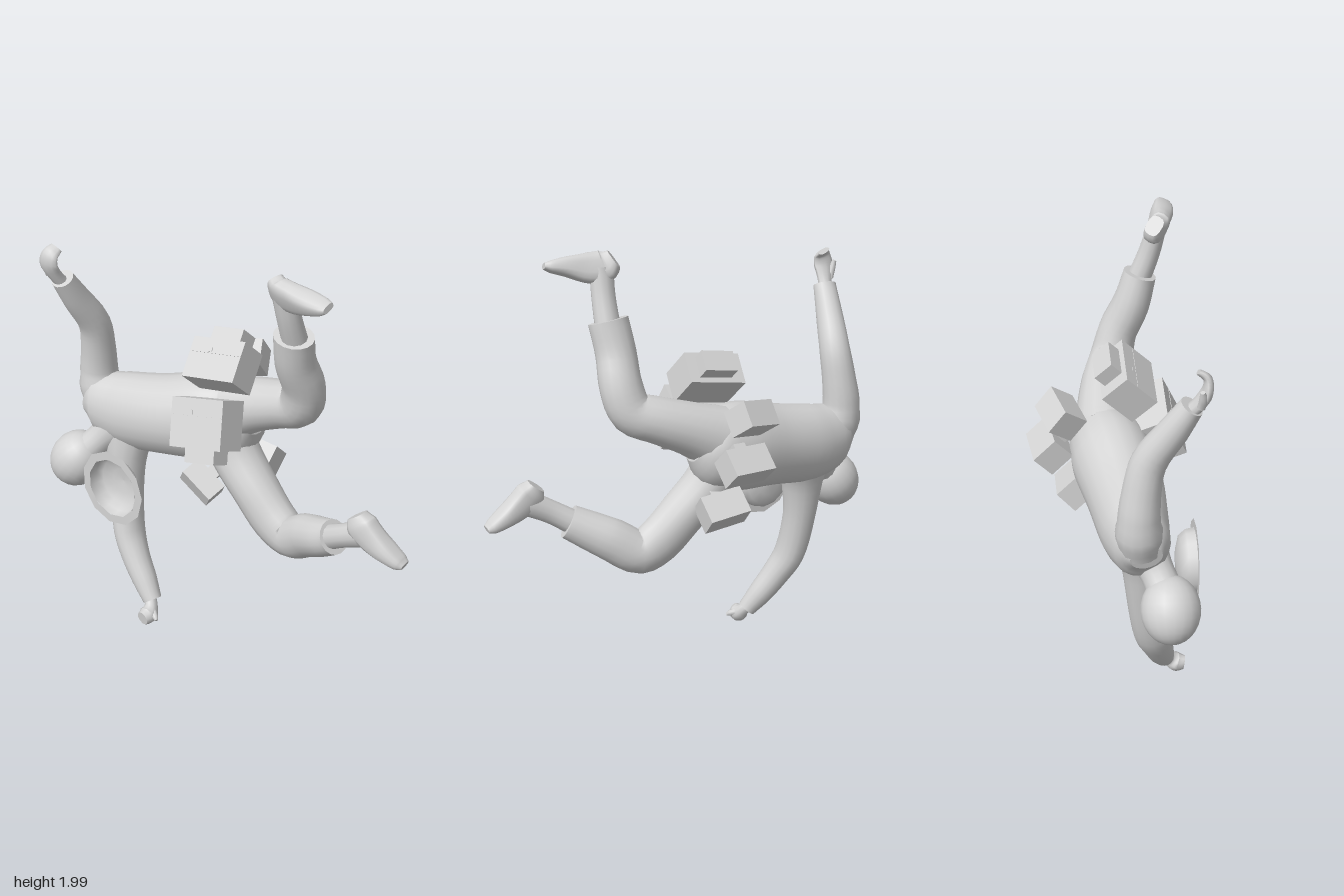
import * as THREE from 'three';

const grey = new THREE.MeshStandardMaterial({ color: 0xd4d4d4 });
grey.name = 'plain grey';
const greyOpen = new THREE.MeshStandardMaterial({ color: 0xd4d4d4, side: THREE.DoubleSide });
greyOpen.name = 'plain grey open';

const V = (x, y, z) => new THREE.Vector3(x, y, z);

// Smooth body through elliptical stations [x, y, z, r along ref, r across].
function loft(stations, ref, sides = 16, steps = 4, power = 1) {
  const path = new THREE.CatmullRomCurve3(stations.map(s => V(s[0], s[1], s[2])));
  const radii = new THREE.CatmullRomCurve3(stations.map(s => V(s[3], s[4], 0)));
  const rings = (stations.length - 1) * steps;
  const pos = [], index = [];
  for (let i = 0; i <= rings; i++) {
    const c = path.getPoint(i / rings), t = path.getTangent(i / rings), r = radii.getPoint(i / rings);
    const u = ref.clone().addScaledVector(t, -ref.dot(t)).normalize();
    const v = t.clone().cross(u);
    for (let j = 0; j < sides; j++) {
      const a = j / sides * Math.PI * 2, ca = Math.cos(a), sa = Math.sin(a);
      const p = c.clone()
        .addScaledVector(u, Math.sign(ca) * Math.abs(ca) ** power * r.x)
        .addScaledVector(v, Math.sign(sa) * Math.abs(sa) ** power * r.y);
      pos.push(p.x, p.y, p.z);
    }
  }
  for (let i = 0; i < rings; i++) for (let j = 0; j < sides; j++) {
    const a = i * sides + j, b = i * sides + (j + 1) % sides;
    index.push(a, b, a + sides, b, b + sides, a + sides);
  }
  // end caps with their own vertices, so cuffs stay crisp
  for (const end of [0, rings]) {
    const base = pos.length / 3, first = end * sides * 3;
    for (let k = 0; k < sides * 3; k++) pos.push(pos[first + k]);
    const c = path.getPoint(end / rings);
    pos.push(c.x, c.y, c.z);
    for (let j = 0; j < sides; j++) {
      const a = base + j, b = base + (j + 1) % sides;
      if (end) index.push(base + sides, a, b); else index.push(base + sides, b, a);
    }
  }
  const g = new THREE.BufferGeometry();
  g.setAttribute('position', new THREE.Float32BufferAttribute(pos, 3));
  g.setIndex(index);
  g.computeVertexNormals();
  return g;
}

export function createModel() {
  const model = new THREE.Group();
  model.name = 'tumblingFigure';
  const add = (name, geometry, material = grey, parent = model) => {
    const m = new THREE.Mesh(geometry, material);
    m.name = name;
    parent.add(m);
    return m;
  };
  const Y = V(0, 1, 0), Z = V(0, 0, 1);

  // torso, from the shoulders to the pelvis
  add('torso', loft([
    [-0.83, 0.99, 0.10, 0.06, 0.07], [-0.77, 1.0, 0.09, 0.15, 0.12], [-0.62, 0.995, 0.07, 0.185, 0.15],
    [-0.40, 1.03, 0.05, 0.192, 0.172], [-0.20, 1.07, 0.015, 0.208, 0.182], [-0.05, 1.10, -0.015, 0.185, 0.155],
    [0.04, 1.13, -0.01, 0.08, 0.09]], Y, 20));

  // head and neck
  add('neck', loft([[-0.66, 0.92, 0.11, 0.10, 0.10], [-0.735, 0.835, 0.16, 0.075, 0.072],
    [-0.81, 0.75, 0.20, 0.08, 0.08]], Z));
  const head = add('head', new THREE.SphereGeometry(0.135, 20, 14));
  head.scale.set(0.95, 1.1, 0.95);
  head.position.set(-0.838, 0.722, 0.205);
  head.rotation.z = -0.6;

  // raised arm
  add('raisedSleeve', loft([
    [-0.76, 0.99, 0.08, 0.09, 0.09], [-0.79, 1.14, 0.07, 0.09, 0.09], [-0.78, 1.28, 0.08, 0.082, 0.08],
    [-0.77, 1.42, 0.11, 0.075, 0.072], [-0.79, 1.57, 0.20, 0.065, 0.062], [-0.805, 1.69, 0.27, 0.05, 0.055]], Z));
  add('raisedHand', loft([
    [-0.805, 1.66, 0.26, 0.03, 0.03], [-0.82, 1.71, 0.295, 0.025, 0.038], [-0.83, 1.77, 0.325, 0.022, 0.05],
    [-0.82, 1.82, 0.325, 0.018, 0.042], [-0.81, 1.845, 0.29, 0.012, 0.03]], Z, 10));
  add('raisedThumb', loft([[-0.85, 1.71, 0.30, 0.018, 0.018], [-0.865, 1.75, 0.305, 0.018, 0.016],
    [-0.875, 1.79, 0.30, 0.01, 0.01]], Z, 8));

  // lowered arm, broad where it leaves the chest
  add('loweredSleeve', loft([
    [-0.60, 0.96, 0.08, 0.11, 0.16], [-0.61, 0.80, 0.11, 0.095, 0.105], [-0.605, 0.60, 0.125, 0.082, 0.078],
    [-0.575, 0.39, 0.16, 0.082, 0.07], [-0.52, 0.28, 0.19, 0.07, 0.066], [-0.45, 0.18, 0.215, 0.06, 0.06],
    [-0.385, 0.095, 0.24, 0.045, 0.045]], Z));
  add('loweredHand', loft([
    [-0.40, 0.11, 0.24, 0.028, 0.028], [-0.375, 0.075, 0.265, 0.032, 0.032], [-0.37, 0.05, 0.295, 0.046, 0.044],
    [-0.375, 0.045, 0.335, 0.03, 0.035]], V(1, 0.2, 0), 10));
  add('loweredThumb', loft([[-0.35, 0.065, 0.28, 0.018, 0.018], [-0.325, 0.055, 0.30, 0.015, 0.015],
    [-0.31, 0.045, 0.31, 0.008, 0.008]], Z, 8));

  // raised leg
  add('raisedTrouser', loft([
    [-0.08, 1.14, -0.01, 0.14, 0.15], [0.06, 1.205, 0.00, 0.125, 0.122], [0.20, 1.26, 0.02, 0.112, 0.108],
    [0.315, 1.31, 0.05, 0.098, 0.10], [0.35, 1.42, 0.08, 0.09, 0.097], [0.345, 1.56, 0.14, 0.085, 0.092],
    [0.36, 1.70, 0.18, 0.075, 0.092]], Z));
  add('raisedAnkle', loft([[0.365, 1.66, 0.17, 0.055, 0.058], [0.362, 1.80, 0.22, 0.05, 0.054],
    [0.355, 1.92, 0.25, 0.045, 0.055]], Z, 12));
  add('raisedShoe', loft([
    [0.302, 1.955, 0.235, 0.045, 0.036], [0.34, 1.925, 0.25, 0.072, 0.045], [0.41, 1.92, 0.267, 0.068, 0.046],
    [0.50, 1.932, 0.29, 0.045, 0.05], [0.57, 1.938, 0.302, 0.027, 0.042], [0.60, 1.942, 0.308, 0.014, 0.03]],
  V(0, 1, 0.4).normalize(), 14, 4, 0.7));

  // lowered leg
  add('loweredTrouser', loft([
    [-0.12, 1.05, 0.00, 0.13, 0.11], [-0.045, 0.915, 0.015, 0.12, 0.112], [0.07, 0.79, 0.035, 0.11, 0.108],
    [0.19, 0.665, 0.05, 0.095, 0.112], [0.28, 0.62, 0.06, 0.09, 0.102], [0.40, 0.69, 0.10, 0.09, 0.10],
    [0.50, 0.745, 0.145, 0.085, 0.09], [0.58, 0.79, 0.175, 0.072, 0.08]], Z));
  add('loweredAnkle', loft([[0.54, 0.77, 0.165, 0.055, 0.058], [0.65, 0.84, 0.20, 0.05, 0.054],
    [0.76, 0.90, 0.22, 0.05, 0.06]], Z, 12));
  add('loweredShoe', loft([
    [0.715, 0.975, 0.215, 0.04, 0.042], [0.745, 0.935, 0.22, 0.052, 0.068], [0.80, 0.89, 0.222, 0.052, 0.06],
    [0.87, 0.85, 0.22, 0.055, 0.042], [0.93, 0.82, 0.218, 0.045, 0.027], [0.955, 0.812, 0.218, 0.03, 0.014]],
  Z, 14, 4, 0.7));

  // shallow open hat with a flat brim, its hollow facing forward
  const hat = new THREE.Group();
  hat.name = 'hat';
  hat.position.set(-0.515, 0.735, 0.345);
  hat.rotation.x = Math.PI / 2;
  hat.scale.set(0.9, 1, 1);
  model.add(hat);
  const crown = [[0, -0.085], [0.065, -0.08], [0.12, -0.065], [0.143, -0.04], [0.15, 0]];
  add('hatCrown', new THREE.LatheGeometry(crown.map(p => new THREE.Vector2(...p)), 14), greyOpen, hat);
  add('hatBrim', new THREE.RingGeometry(0.15, 0.192, 11).rotateX(-Math.PI / 2), greyOpen, hat);

  // pouches round the waist: long side on local x, outward on local z
  const pouch = (name, centre, size, around, [tilt, yaw], flap) => {
    const g = new THREE.Group();
    g.name = name;
    g.position.set(...centre);
    g.rotation.set(around, yaw, tilt, 'ZYX');
    model.add(g);
    add(name + 'Body', new THREE.BoxGeometry(...size), grey, g);
    if (flap) {
      add(name + 'Pocket', new THREE.BoxGeometry(0.16, 0.07, 0.10), grey, g)
        .position.set(0.01, flap * (size[1] / 2 + 0.03), 0);
      add(name + 'Seam', new THREE.BoxGeometry(size[0] * 0.98, 0.004, 0.004), grey, g)
        .position.set(0, size[1] * 0.14, size[2] / 2);
      add(name + 'Button', new THREE.BoxGeometry(0.02, 0.02, 0.006), grey, g)
        .position.set(-0.03, size[1] * 0.22, size[2] / 2);
    } else add(name + 'Loop', new THREE.BoxGeometry(0.06, 0.05, 0.04), grey, g)
      .position.set(0, 0, -size[2] / 2 - 0.015);
  };
  pouch('upperPack', [-0.072, 1.395, 0.085], [0.275, 0.19, 0.15], -0.78, [0.17, 0], 1);
  pouch('frontPack', [-0.055, 1.175, 0.23], [0.28, 0.22, 0.15], -0.42, [0.22, 0], -1);
  pouch('frontPouchLower', [-0.135, 0.81, 0.16], [0.175, 0.095, 0.10], 0.45, [-0.6, 0]);
  pouch('backPouchUpper', [-0.145, 1.285, -0.21], [0.18, 0.12, 0.13], Math.PI + 0.7, [0.2, 0.3]);
  pouch('backPouchMiddle', [-0.085, 1.09, -0.26], [0.21, 0.12, 0.13], Math.PI - 0.75, [0.05, 0.12]);
  pouch('backPouchLower', [-0.035, 0.845, -0.145], [0.2, 0.12, 0.13], Math.PI - 0.75, [-0.1, 0]);

  return model;
}
